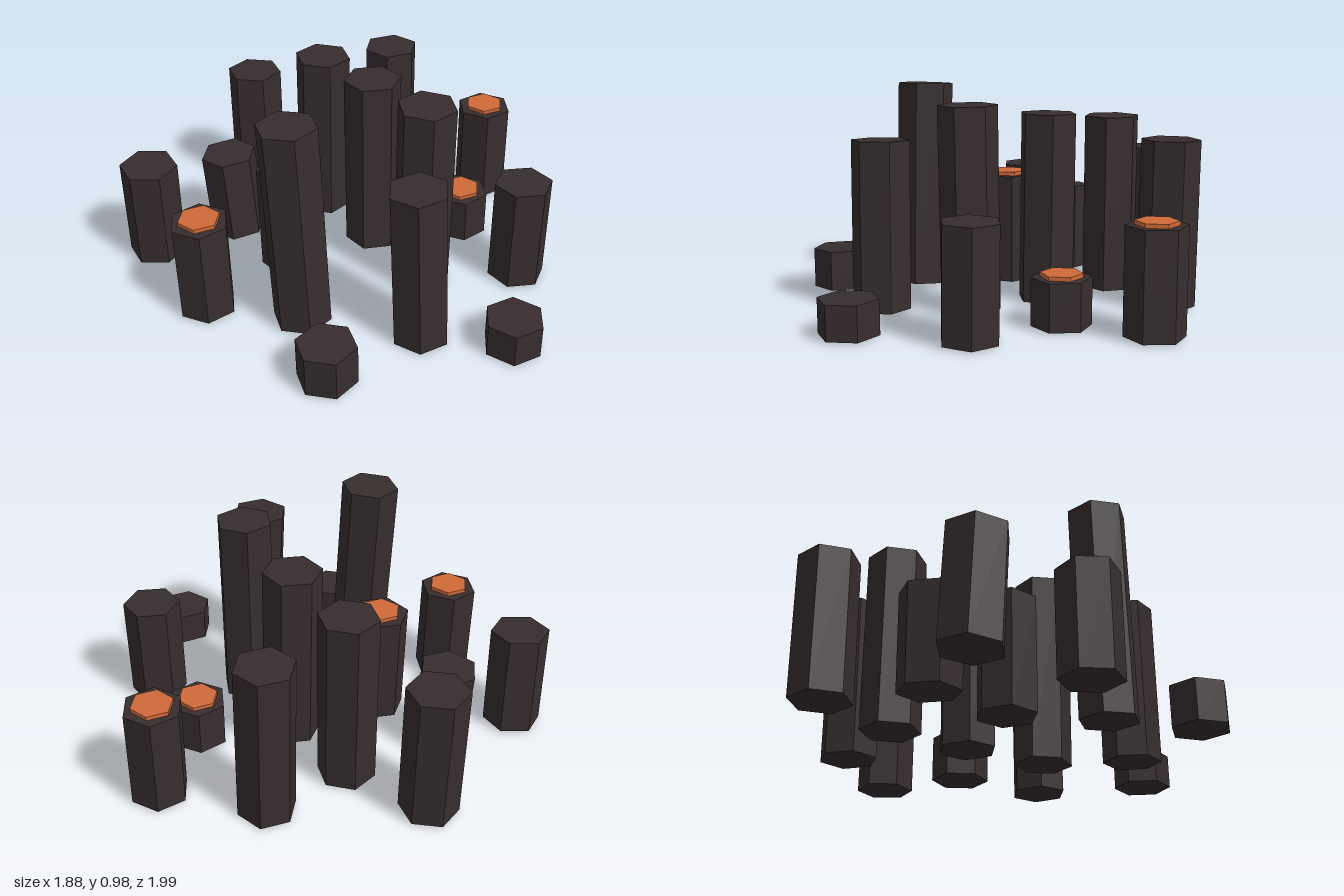
import * as THREE from 'three';

const RADIUS = 0.132;
const BASE_Y = 0.008;

// top centre x, z | top height | turn in degrees | base offset x, z | glowing cap
const COLUMNS = [
  [-0.60, -0.85, 0.495, -7, 0.01, -0.02, 0],
  [0.185, -0.88, 0.645, 1, -0.01, 0, 0],
  [-0.23, -0.70, 0.43, 30, 0.012, 0.018, 0],
  [0.215, -0.46, 0.837, 7, -0.01, -0.008, 0],
  [0.61, -0.34, 0.765, 33, -0.006, 0.005, 0],
  [-0.76, -0.38, 0.472, 16, 0, 0, 1],
  [-0.285, -0.295, 0.53, 42, 0, 0, 1],
  [0.115, -0.095, 0.87, 44, -0.008, 0.006, 0],
  [-0.575, -0.02, 0.98, 6, 0.004, 0.035, 0],
  [-0.81, 0.34, 0.195, 5, 0, 0, 0],
  [-0.375, 0.485, 0.765, 27, 0.012, 0.022, 0],
  [-0.03, 0.295, 0.925, 14, 0.002, -0.013, 0],
  [0.42, 0.215, 0.22, 16, 0, 0, 1],
  [0.81, 0.10, 0.476, 20, 0, 0, 1],
  [0.27, 0.625, 0.505, 46, -0.008, 0, 0],
  [-0.19, 0.865, 0.163, 27, 0, 0, 0],
];

export function createModel() {
  const model = new THREE.Group();
  model.name = 'basaltColumns';

  const basalt = new THREE.MeshStandardMaterial({ color: 0x372d2e, flatShading: true });
  basalt.name = 'dark basalt';
  const ember = new THREE.MeshStandardMaterial({ color: 0xd06a3a, flatShading: true });
  ember.name = 'ember orange';

  const up = new THREE.Vector3(0, 1, 0);

  COLUMNS.forEach(([x, z, top, turn, dx, dz, capped], i) => {
    // leaning hexagonal column, standing on its base centre
    const axis = new THREE.Vector3(-dx, top - BASE_Y, -dz);
    const length = axis.length();
    const start = THREE.MathUtils.degToRad(30 - turn);
    const geometry = new THREE.CylinderGeometry(RADIUS, RADIUS, length, 6, 1, false, start);
    geometry.translate(0, length / 2, 0);
    const column = new THREE.Mesh(geometry, basalt);
    column.name = `column${i + 1}`;
    column.position.set(x + dx, BASE_Y, z + dz);
    column.quaternion.setFromUnitVectors(up, axis.normalize());
    model.add(column);

    // level glowing cap on some of the columns
    if (capped) {
      const cap = new THREE.Mesh(new THREE.CylinderGeometry(0.093, 0.093, 0.03, 6), ember);
      cap.name = `emberCap${i + 1}`;
      cap.position.set(x, top + 0.003, z);
      model.add(cap);
    }
  });

  return model;
}
